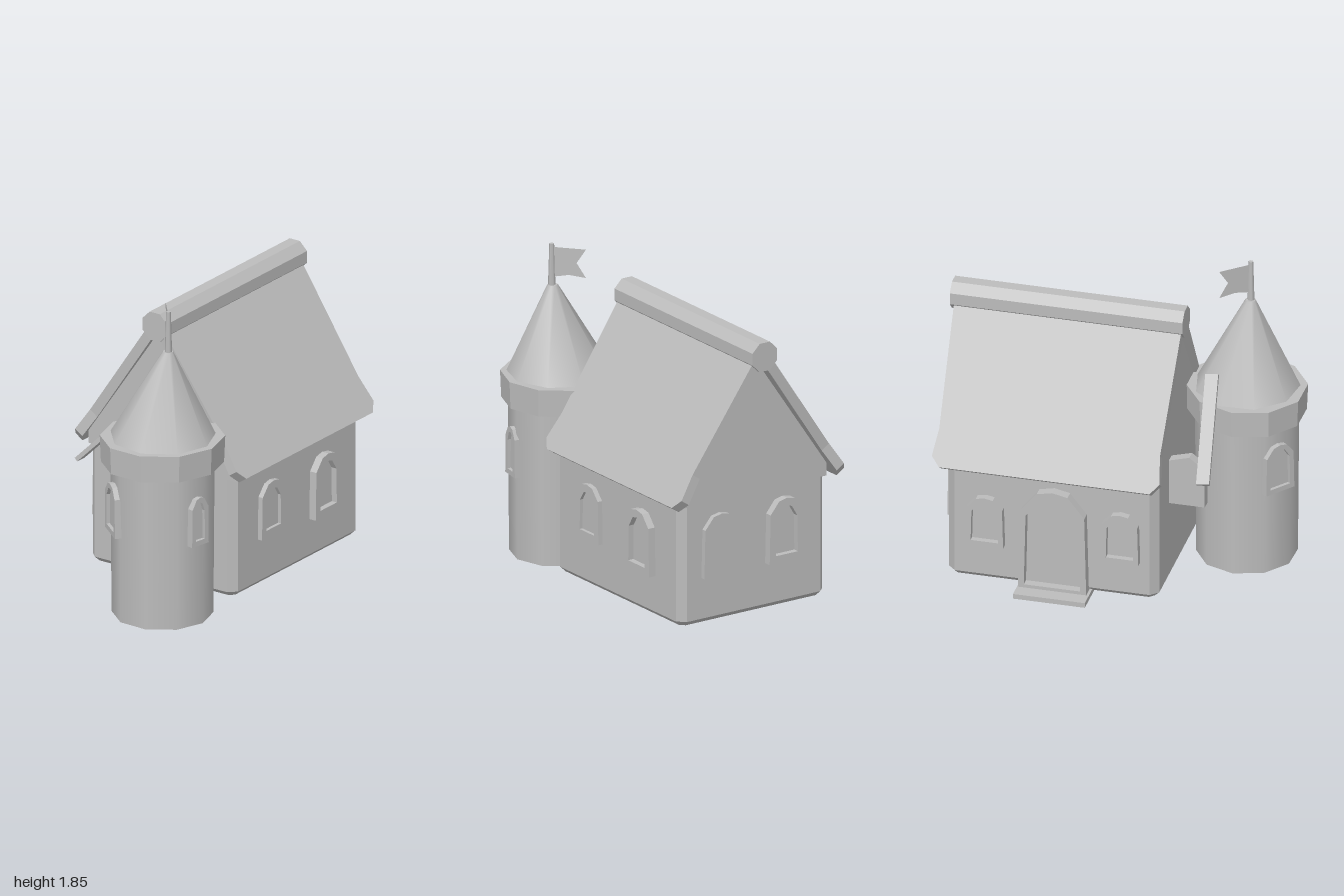
import * as THREE from 'three';

const stone = new THREE.MeshStandardMaterial({ color: 0xbcbcbc });
stone.name = 'plain grey';
const sheet = stone.clone();
sheet.side = THREE.DoubleSide;

function add(parent, name, geometry, x = 0, y = 0, z = 0, material = stone) {
  const mesh = new THREE.Mesh(geometry, material);
  mesh.name = name;
  mesh.position.set(x, y, z);
  parent.add(mesh);
  return mesh;
}

const polygon = (pts) => new THREE.Shape(pts.map(([x, y]) => new THREE.Vector2(x, y)));
const extrude = (shape, depth) => new THREE.ExtrudeGeometry(shape, { depth, bevelEnabled: false });

// Arch outline standing on y = 0
function arch(w, h, lift = 0) {
  const a = w / 2;
  return [[-a, lift], [a, lift], [a * 0.94, h * 0.78], [a * 0.45, h * 0.97], [0, h],
    [-a * 0.45, h * 0.97], [-a * 0.94, h * 0.78]];
}

// Arched opening: raised frame around a set-back pane, or a plain raised panel
function opening(parent, name, w, h, x, y, z, turn, { depth = 0.045, rim = 0.045, solid = false } = {}) {
  const group = new THREE.Group();
  group.name = name;
  group.position.set(x, y, z);
  group.rotation.y = turn;
  const outline = polygon(arch(w, h));
  if (!solid) {
    outline.holes.push(polygon(arch(w - rim * 2, h - rim, rim)));
    add(group, 'pane', extrude(polygon(arch(w - rim, h - rim / 2, rim / 2)), 0.03), 0, 0, -0.02);
  }
  add(group, 'frame', extrude(outline, depth + 0.02), 0, 0, -0.02);
  parent.add(group);
}

function buildHouse() {
  const house = new THREE.Group();
  house.name = 'house';
  house.rotation.y = 0.663;
  const s0 = -0.52, s1 = 0.71, t0 = -0.576, t1 = 0.435, c = 0.045;

  // Walls with cut corners and a bevelled foot
  const plan = polygon([
    [s0 + c, -t1], [s1 - c, -t1], [s1, -t1 + c], [s1, -t0 - c],
    [s1 - c, -t0], [s0 + c, -t0], [s0, -t0 - c], [s0, -t1 + c],
  ]);
  const wallGeo = new THREE.ExtrudeGeometry(plan, {
    depth: 0.7, bevelEnabled: true, bevelSegments: 1, bevelSize: 0.03, bevelThickness: 0.03, bevelOffset: -0.03,
  });
  wallGeo.rotateX(-Math.PI / 2);
  add(house, 'walls', wallGeo, 0, 0.065, 0);

  // Gable block under the roof
  const ridge = -0.085;
  const gable = extrude(polygon([[-0.535, 0.75], [0.49, 0.75], [0.49, 0.825], [0, 1.54], [-0.52, 0.78]]), s1 - s0);
  gable.rotateY(Math.PI / 2);
  add(house, 'gables', gable, s0, 0, ridge);

  // Two roof slabs with clipped eave corners
  const half = 0.545, rise = 0.8, len = Math.hypot(half, rise), r = 0.665;
  const slab = polygon([[-r + 0.05, 0], [r - 0.05, 0], [r, 0.06], [r - 0.02, 0.22], [r, len],
    [-r, len], [-r + 0.02, 0.22], [-r, 0.06]]);
  for (const turn of [0, Math.PI]) {
    const side = new THREE.Group();
    side.name = turn ? 'rearRoof' : 'frontRoof';
    side.position.set(0.115, 0.745, ridge);
    side.rotation.y = turn;
    add(side, 'roofSlab', extrude(slab, 0.06), 0, 0, half).rotation.x = -Math.atan2(half, rise);
    house.add(side);
  }

  // Ridge cap
  const cap = new THREE.CylinderGeometry(0.092, 0.092, 1.36, 8).toNonIndexed();
  cap.rotateY(Math.PI / 8);
  cap.rotateZ(Math.PI / 2);
  cap.computeVertexNormals();
  add(house, 'ridgeCap', cap, 0.12, 1.585, ridge);

  // Windows on the long sides
  opening(house, 'frontWindow', 0.25, 0.37, 0.34, 0.28, t1, 0);
  opening(house, 'frontWindow', 0.23, 0.33, -0.17, 0.32, t1, 0, { depth: 0.03 });
  for (const s of [0.48, -0.31]) opening(house, 'rearWindow', 0.22, 0.31, s, 0.27, t0, Math.PI, { rim: 0.03 });

  // Windows on the right gable
  opening(house, 'gableWindow', 0.24, 0.37, s1, 0.31, 0.17, Math.PI / 2, { solid: true, depth: 0.03 });
  opening(house, 'gableWindow', 0.24, 0.38, s1, 0.31, -0.27, Math.PI / 2);

  // Door and step
  opening(house, 'door', 0.4, 0.65, 0.08, 0.03, t0, Math.PI, { depth: 0.06, rim: 0.035 });
  add(house, 'doorStep', new THREE.BoxGeometry(0.42, 0.03, 0.2), 0.075, 0.03, -0.625);

  // Bracket and slanting board beside the tower
  const bracket = extrude(polygon([[-0.73, 0.53], [-0.5, 0.53], [-0.5, 0.8], [-0.64, 0.84], [-0.73, 0.77]]), 0.06);
  add(house, 'bracket', bracket, 0, 0, -0.32);
  const board = new THREE.BoxGeometry(0.075, 0.65, 0.025);
  const plate = add(house, 'slantingBoard', board, -0.725, 0.99, -0.24);
  plate.rotation.set(0.78, 0, -0.1);
  return house;
}

function buildTower() {
  const tower = new THREE.Group();
  tower.name = 'tower';
  tower.position.set(-0.56, 0, 0.66);

  add(tower, 'towerBody', new THREE.CylinderGeometry(0.295, 0.288, 0.93, 10), 0, 0.47, 0);

  // Overhanging collar
  const ring = new THREE.CylinderGeometry(0.357, 0.35, 0.16, 10).toNonIndexed();
  ring.computeVertexNormals();
  add(tower, 'collar', ring, 0, 1.0, 0).scale.z = 0.95;

  // Pointed roof, leaning slightly
  const cone = new THREE.CylinderGeometry(0.03, 0.305, 0.53, 9, 1);
  const p = cone.attributes.position;
  for (let i = 0; i < p.count; i++) {
    if (p.getY(i) > 0) p.setXYZ(i, p.getX(i) + 0.02, p.getY(i), p.getZ(i) + 0.04);
  }
  add(tower, 'towerRoof', cone, 0, 1.34, 0);

  // Pole and swallow-tailed flag
  add(tower, 'flagPole', new THREE.CylinderGeometry(0.014, 0.022, 0.27, 6), 0.022, 1.715, 0.045);
  const cloth = new THREE.ShapeGeometry(polygon([[0, 1.65], [0.1, 1.67], [0.2, 1.66], [0.145, 1.745], [0.2, 1.83], [0, 1.83]]));
  add(tower, 'flag', cloth, 0.022, 0, 0.045, sheet).rotation.y = Math.PI / 2 - 0.2;

  // Tower windows
  for (const [a, w, y, h] of [[0.48, 0.13, 0.5, 0.29], [-Math.PI / 2, 0.2, 0.52, 0.3]]) {
    opening(tower, 'towerWindow', w, h, Math.sin(a) * 0.28, y, Math.cos(a) * 0.28, a, { depth: 0.03, rim: 0.03 });
  }
  return tower;
}

export function createModel() {
  const model = new THREE.Group();
  model.name = 'houseWithTower';
  model.add(buildHouse(), buildTower());
  return model;
}
